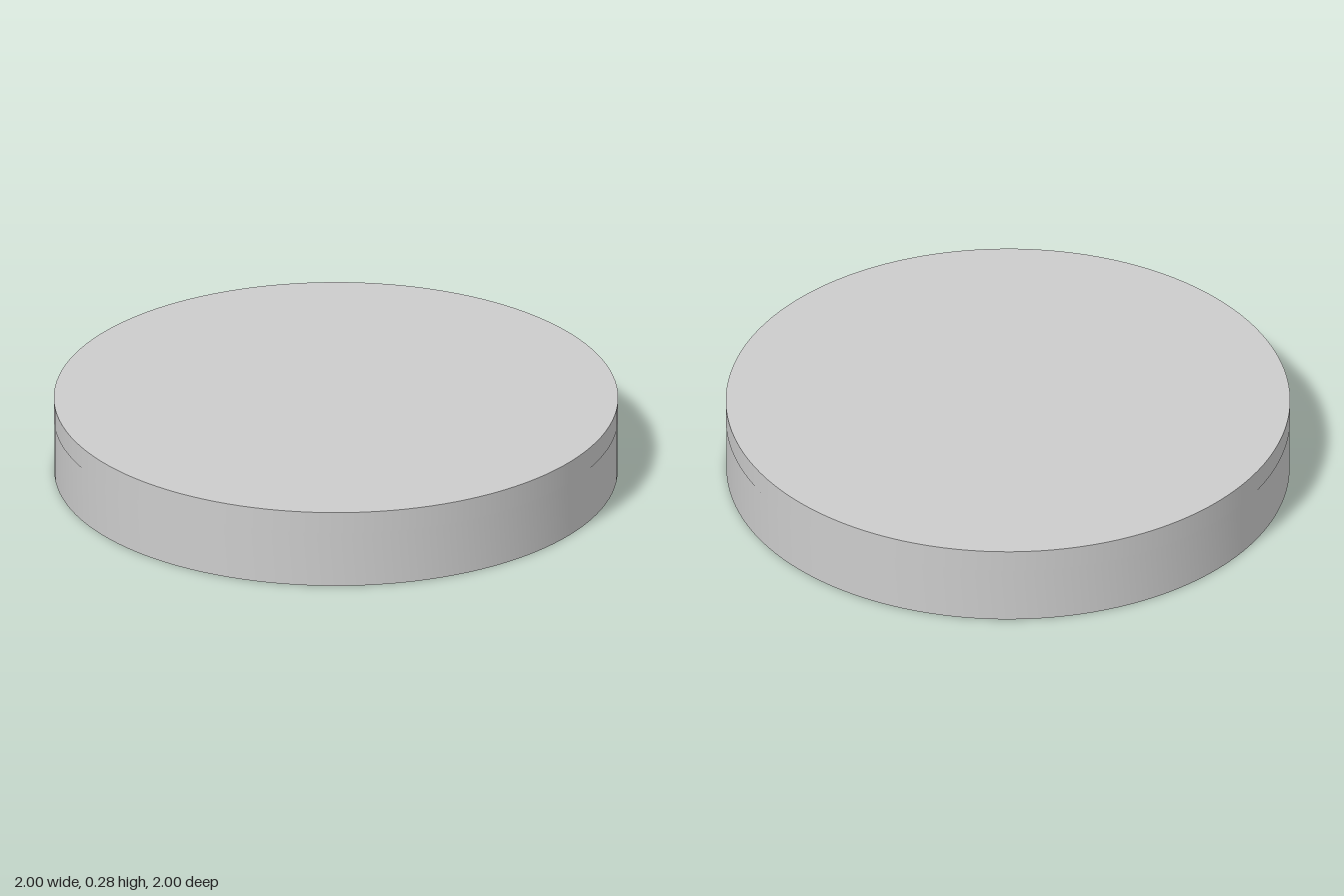
import * as THREE from 'three';
import { toCreasedNormals } from 'three/addons/utils/BufferGeometryUtils.js';

const BASE_HEIGHT = 0.205;
const TOTAL_HEIGHT = 0.285;
const rad = THREE.MathUtils.degToRad;

// Pockets in the underside: inner radius, outer radius, start and end angle (degrees, from +x towards +z)
const POCKETS = [
  [0.58, 0.82, 231.7, 239.8],
  [0.44, 0.535, 232.3, 239.8],
  [0.58, 0.68, 219.7, 227.4],
  [0.44, 0.54, 220.2, 227],
  [0.86, 0.957, 311.8, 317.6],
  [0.72, 0.82, 311.9, 318],
  [0.86, 0.957, 320.8, 326.2],
  [0.72, 0.815, 321.1, 326.7],
  [0.72, 0.82, 142, 183.5],
  [0.72, 0.82, 133.5, 138.1],
  [0.3, 0.4, 144, 160],
  [0.58, 0.68, 35.4, 48.1],
  [0.44, 0.535, 53.6, 92.2],
  [0.44, 0.53, 97.8, 108.6],
  [0.435, 0.57, 35.6, 47.8],
  [0.3, 0.395, 35.2, 46.2],
];

// Outline of one ring-sector pocket
function sector([inner, outer, from, to]) {
  const path = new THREE.Path();
  path.absarc(0, 0, outer, rad(from), rad(to), false);
  path.absarc(0, 0, inner, rad(to), rad(from), true);
  path.closePath();
  return path;
}

export function createModel() {
  const model = new THREE.Group();
  model.name = 'roundDisc';
  const grey = new THREE.MeshStandardMaterial({ color: 0xcccccc });
  grey.name = 'light grey';

  // Base: a thick disc pierced by the pockets
  const outline = new THREE.Shape();
  outline.absarc(0, 0, 0.998, 0, Math.PI * 2, false);
  // Adjoining entries 0.435-0.57 and 0.58-0.68 form one long pocket
  const merged = POCKETS.filter(([a, b]) => a !== 0.435)
    .map((p) => (p[2] === 35.4 ? [0.435, 0.68, p[2], p[3]] : p));
  outline.holes = merged.map(sector);
  const baseGeometry = new THREE.ExtrudeGeometry(outline, {
    depth: BASE_HEIGHT, bevelEnabled: false, curveSegments: 64,
  });
  baseGeometry.rotateX(Math.PI / 2);
  baseGeometry.translate(0, BASE_HEIGHT, 0);
  const base = new THREE.Mesh(toCreasedNormals(baseGeometry, 0.5), grey);
  base.name = 'pocketedBase';

  // Lid: a plain disc closing the pockets from above
  const lidHeight = TOTAL_HEIGHT - BASE_HEIGHT;
  const lid = new THREE.Mesh(new THREE.CylinderGeometry(1, 1, lidHeight, 128), grey);
  lid.position.y = BASE_HEIGHT + lidHeight / 2;
  lid.name = 'lid';

  model.add(base, lid);
  return model;
}
